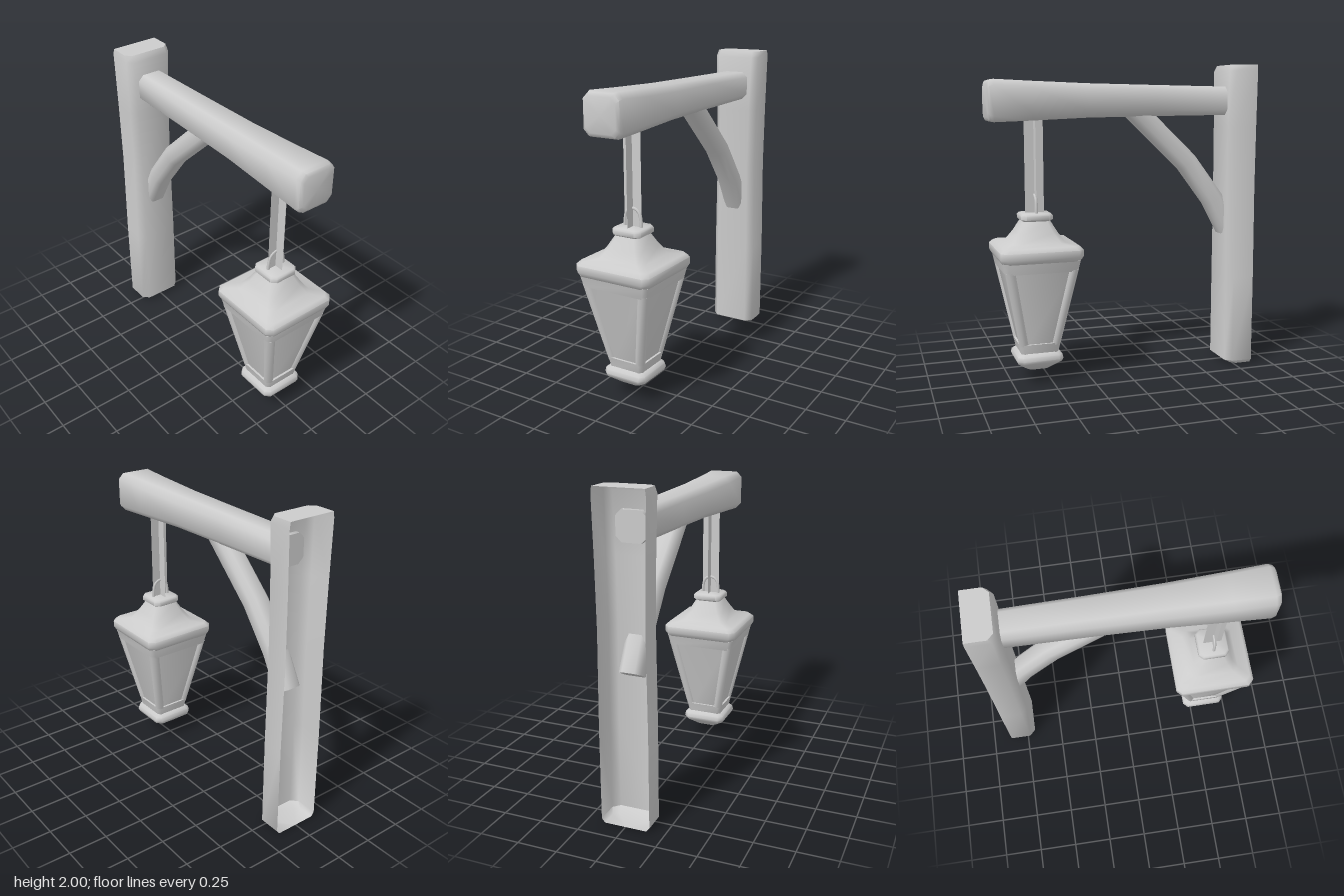
import * as THREE from 'three';
import { toCreasedNormals } from 'three/addons/utils/BufferGeometryUtils.js';

const V = (x, y, z) => new THREE.Vector3(x, y, z);
const X = V(1, 0, 0), Y = V(0, 1, 0), Z = V(0, 0, 1);
const grey = new THREE.MeshStandardMaterial({ color: 0xcccccc });
const greyDouble = new THREE.MeshStandardMaterial({ color: 0xcccccc, side: THREE.DoubleSide });

// Chamfered rectangle around centre c; open = true leaves out the -v side
function ring(c, u, v, hu, hv, ch, open = false) {
  const front = [[hu, hv - ch], [hu - ch, hv], [ch - hu, hv], [-hu, hv - ch]];
  const back = open
    ? [[-hu, -hv], [hu, -hv]]
    : [[-hu, ch - hv], [ch - hu, -hv], [hu - ch, -hv], [hu, ch - hv]];
  const pts = open ? [back[1], ...front, back[0]] : [...front, ...back];
  return pts.map(([a, b]) => c.clone().addScaledVector(u, a).addScaledVector(v, b));
}

// Skin over a row of rings, with a cap at each end
function loft(rings, open = false, crease = 1.0) {
  const n = rings[0].length, last = rings.length - 1;
  const pts = rings.flat(), index = [];
  const sides = open ? n - 1 : n;
  for (let i = 0; i < last; i++) {
    for (let j = 0; j < sides; j++) {
      const a = i * n + j, b = i * n + (j + 1) % n;
      index.push(a, b, b + n, a, b + n, a + n);
    }
  }
  for (const [r, end] of [[0, false], [last, true]]) {
    const c = V(0, 0, 0);
    const rim = open ? [rings[r][0], rings[r][n - 1]] : rings[r];
    rim.forEach(p => c.addScaledVector(p, 1 / rim.length));
    const k = pts.push(c) - 1;
    for (let j = 0; j < sides; j++) {
      const a = r * n + j, b = r * n + (j + 1) % n;
      if (end) index.push(k, a, b); else index.push(k, b, a);
    }
  }
  const g = new THREE.BufferGeometry().setFromPoints(pts);
  g.setIndex(index);
  return toCreasedNormals(g, crease);
}

function add(parent, name, geometry, material = grey) {
  const m = new THREE.Mesh(geometry, material);
  m.name = name;
  parent.add(m);
  return m;
}

// Square stack from [halfWidth, y] pairs, centred on the y axis
const squareStack = (profile, ch) =>
  loft(profile.map(([w, y]) => ring(V(0, y, 0), Z, X, w, w, Math.min(ch, w * 0.3))));

function createLantern() {
  const lantern = new THREE.Group();
  lantern.name = 'lantern';
  const wall = y => 0.12 + (y - 0.2) * 0.2;

  add(lantern, 'lanternBase', squareStack([
    [0.07, 0.08], [0.14, 0.135], [0.147, 0.155], [0.142, 0.18], [0.12, 0.2]], 0.03));
  add(lantern, 'lanternRoof', squareStack([
    [0.22, 0.78], [0.245, 0.8], [0.257, 0.825], [0.257, 0.865], [0.235, 0.888],
    [0.165, 0.9], [0.125, 0.96], [0.085, 1.03], [0.1, 1.04], [0.1, 1.065], [0.09, 1.077]], 0.035));

  // Frame: two rails and four leaning corner bars
  add(lantern, 'bottomRail', squareStack([[wall(0.19), 0.19], [wall(0.26), 0.26]], 0.022));
  add(lantern, 'topRail', squareStack([[wall(0.73), 0.73], [wall(0.8), 0.8]], 0.022));
  for (const sx of [1, -1]) {
    for (const sz of [1, -1]) {
      const bar = [[0.25, 0.03], [0.74, 0.033]].map(([y, h]) => {
        const c = wall(y) - h;
        return ring(V(sx * c, y, sz * c), Z, X, h, h, 0.02);
      });
      add(lantern, 'cornerBar', loft(bar));
    }
  }
  // Panes sit slightly behind the frame
  add(lantern, 'glassPanes', squareStack(
    [0.22, 0.77].map(y => [wall(y) - 0.014, y]), 0.01));

  // Hook loop on the roof
  const loop = [V(0, 1.05, 0.058), V(0, 1.12, 0.055)];
  for (let i = 1; i < 6; i++) {
    const a = i * Math.PI / 6;
    loop.push(V(0, 1.13 + 0.058 * Math.sin(a), 0.053 * Math.cos(a)));
  }
  loop.push(V(0, 1.12, -0.055), V(0, 1.05, -0.058));
  add(lantern, 'hookLoop', new THREE.TubeGeometry(new THREE.CatmullRomCurve3(loop), 24, 0.01, 6));

  // Hanging chain: two crossed strips
  for (const turn of [0, Math.PI / 2]) {
    const strip = new THREE.PlaneGeometry(0.12, 0.59);
    strip.rotateY(turn).translate(0, 1.37, 0);
    add(lantern, 'chainStrip', strip, greyDouble);
  }
  lantern.position.x = 0.578;
  return lantern;
}

export function createModel() {
  const model = new THREE.Group();
  model.name = 'hangingLantern';

  // Post, open along its back side: [y, half depth z, front x, chamfer]
  const post = [
    [0, 0.135, -0.74, 0.03], [0.025, 0.155, -0.692, 0.04], [0.6, 0.155, -0.692, 0.04],
    [1.2, 0.147, -0.69, 0.04], [1.6, 0.152, -0.69, 0.04], [1.96, 0.16, -0.69, 0.035],
    [2, 0.155, -0.71, 0.035]
  ].map(([y, hz, x, ch]) =>
    ring(V((x - 0.873) / 2, y, 0), Z, X, hz, (x + 0.873) / 2, ch, true));
  add(model, 'post', loft(post, true), greyDouble);

  // Beam: [x, bottom, top, half depth, chamfer]
  const beam = [
    [-0.72, 1.677, 1.86, 0.095, 0.035], [-0.2, 1.672, 1.868, 0.1, 0.035],
    [0.25, 1.665, 1.876, 0.11, 0.04], [0.6, 1.65, 1.888, 0.122, 0.04],
    [0.835, 1.642, 1.898, 0.128, 0.035], [0.862, 1.65, 1.89, 0.12, 0.035],
    [0.873, 1.67, 1.87, 0.1, 0.03]
  ].map(([x, lo, hi, hz, ch]) => ring(V(x, (lo + hi) / 2, 0), Y, Z, (hi - lo) / 2, hz, ch));
  add(model, 'beam', loft(beam));

  // Bent brace between post and beam
  const path = [V(-0.74, 0.915, 0), V(-0.63, 1.12, 0), V(-0.44, 1.37, 0), V(-0.06, 1.73, 0)];
  const brace = path.map((p, i) => {
    const t = path[Math.min(i + 1, 3)].clone().sub(path[Math.max(i - 1, 0)]).normalize();
    return ring(p, V(-t.y, t.x, 0), Z, 0.065, 0.07, 0.03);
  });
  add(model, 'brace', loft(brace));

  model.add(createLantern());
  return model;
}
